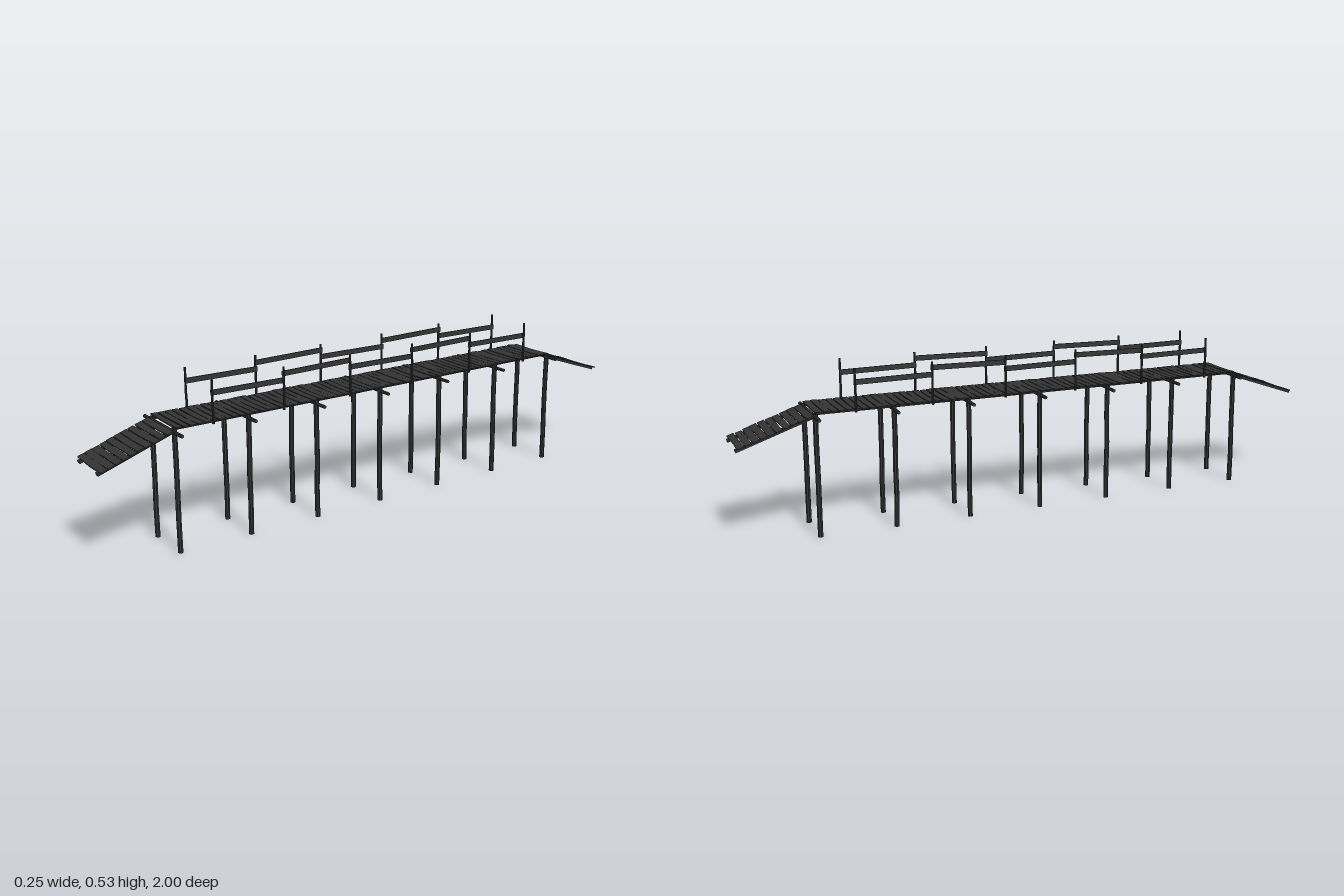
import * as THREE from 'three';

const wood = new THREE.MeshStandardMaterial({ color: 0x333333, flatShading: true });

// Small seeded generator, returns -1..1
let seed = 7;
function jitter(amount = 1) {
  seed = (seed * 16807) % 2147483647;
  return ((seed / 2147483647) * 2 - 1) * amount;
}

function add(parent, geometry, name, x, y, z) {
  const mesh = new THREE.Mesh(geometry, wood);
  mesh.name = name;
  mesh.position.set(x, y, z);
  parent.add(mesh);
  return mesh;
}

// Rough log: an eight-sided cylinder whose rings wander slightly off axis
function logGeometry(rTop, rBottom, length, bend) {
  const rings = 4;
  const g = new THREE.CylinderGeometry(rTop, rBottom, length, 8, rings);
  const offsets = Array.from({ length: rings + 1 }, () => [jitter(bend), jitter(bend)]);
  const p = g.attributes.position;
  for (let i = 0; i < p.count; i++) {
    const [dx, dz] = offsets[Math.round((p.getY(i) / length + 0.5) * rings)];
    p.setX(i, p.getX(i) + dx);
    p.setZ(i, p.getZ(i) + dz);
  }
  g.computeVertexNormals();
  return g;
}

// Worn plank: sags in the middle and has uneven long edges
function plankGeometry(length, width) {
  const g = new THREE.BoxGeometry(length, 0.004, width, 4, 1, 1);
  const p = g.attributes.position;
  const edges = Array.from({ length: 10 }, () => jitter(0.0012));
  for (let i = 0; i < p.count; i++) {
    const t = p.getX(i) / (length / 2);
    const column = Math.round((t + 1) * 2);
    p.setY(i, p.getY(i) - 0.002 * (1 - t * t));
    p.setZ(i, p.getZ(i) + edges[column + (p.getZ(i) > 0 ? 5 : 0)]);
  }
  g.computeVertexNormals();
  return g;
}

// Row of planks centred on the local origin, running along z
function plankRow(parent, length, count) {
  const pitch = length / count;
  for (let i = 0; i < count; i++) {
    const plank = add(parent, plankGeometry(0.173 + jitter(0.004), pitch * (0.9 + jitter(0.06))),
      'plank', jitter(0.002), jitter(0.0006), -length / 2 + (i + 0.5) * pitch);
    plank.rotation.y = jitter(0.012);
  }
}

export function createModel() {
  seed = 7;
  const model = new THREE.Group();
  model.name = 'footbridge';

  // Main deck with two bearers
  const deck = new THREE.Group();
  deck.name = 'deck';
  deck.position.y = 0.399;
  plankRow(deck, 1.5, 62);
  for (const s of [-1, 1]) {
    add(deck, new THREE.BoxGeometry(0.014, 0.007, 1.5), 'deckBearer', s * 0.066, -0.005, 0);
  }
  model.add(deck);

  // Sloping ramps at both ends
  for (const s of [-1, 1]) {
    const ramp = new THREE.Group();
    ramp.name = s > 0 ? 'frontRamp' : 'backRamp';
    ramp.position.set(0, 0.35, s * 0.874);
    ramp.rotation.x = s * Math.atan2(0.085, 0.25);
    plankRow(ramp, 0.25, 10);
    for (const side of [-1, 1]) {
      add(ramp, new THREE.BoxGeometry(0.015, 0.009, 0.262), 'rampBearer', side * 0.065, -0.006, 0);
    }
    model.add(ramp);
  }

  // Pairs of piles, each joined by a cross log
  for (let i = -3; i <= 3; i++) {
    const trestle = new THREE.Group();
    trestle.name = 'trestle';
    trestle.position.z = i * 0.25;
    for (const s of [-1, 1]) {
      add(trestle, logGeometry(0.0085, 0.0085, 0.395, 0.0012), 'pile', s * 0.0765, 0.1975, 0);
    }
    const cross = add(trestle, logGeometry(0.0058, 0.0058, 0.25, 0.0006), 'crossLog', 0, 0.385, 0);
    cross.rotation.z = Math.PI / 2;
    model.add(trestle);
  }

  // Railings: thin posts with boards at alternating heights
  for (const s of [-1, 1]) {
    const railing = new THREE.Group();
    railing.name = s > 0 ? 'leftRailing' : 'rightRailing';
    for (let i = 0; i < 6; i++) {
      const z = -0.625 + i * 0.25;
      add(railing, logGeometry(0.0037, 0.0042, 0.138, 0.0008), 'railPost', s * 0.0855, 0.459, z);
      if (i < 5) {
        const y = i % 2 ? 0.507 : 0.485;
        const rail = add(railing, new THREE.BoxGeometry(0.004, 0.017, 0.256), 'railBoard', s * 0.0808, y, z + 0.125);
        rail.rotation.x = i % 2 ? 0.015 : -0.01;
      }
    }
    model.add(railing);
  }

  return model;
}
